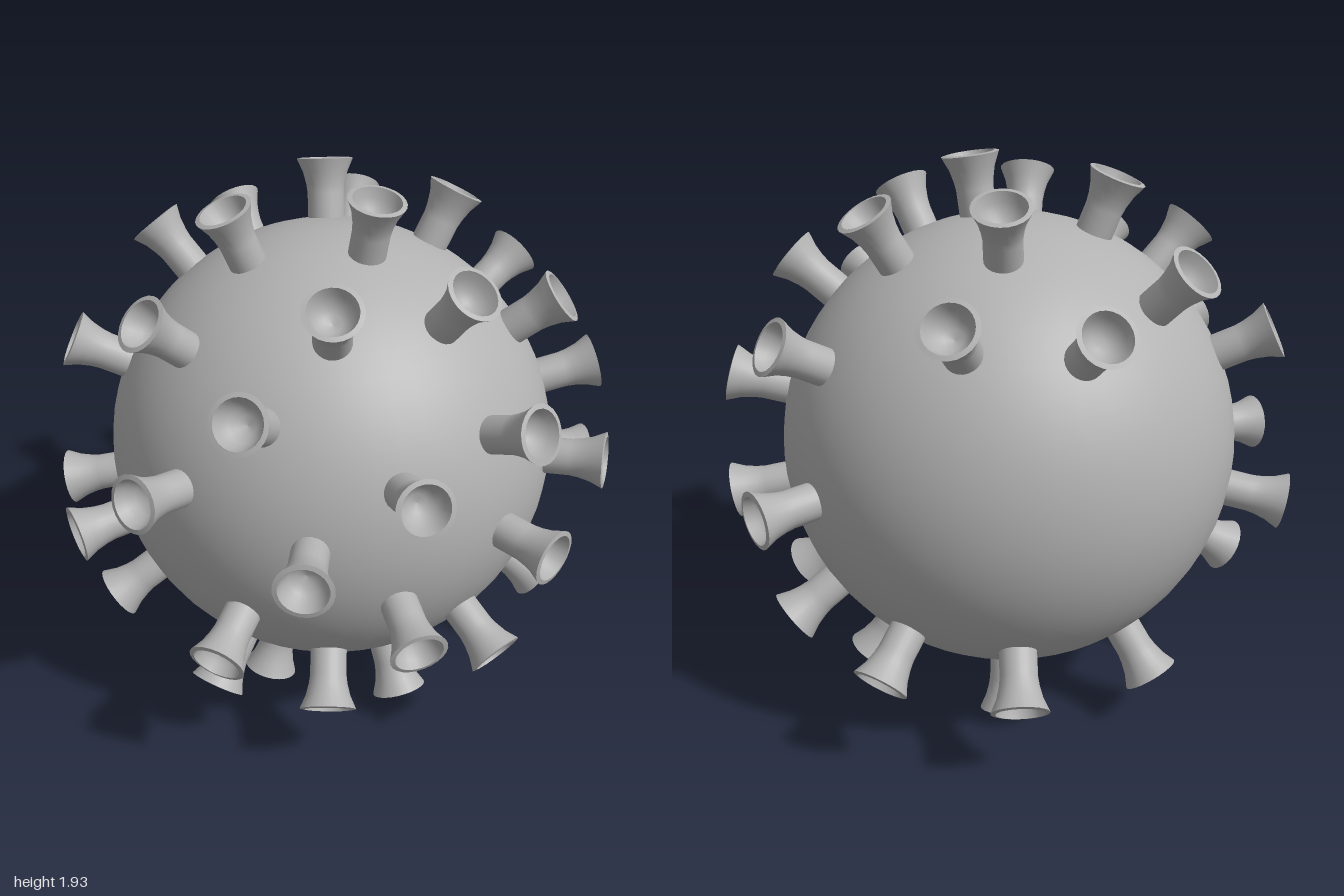
import * as THREE from 'three';
import { mergeGeometries } from 'three/addons/utils/BufferGeometryUtils.js';

const CENTRE = new THREE.Vector3(0, 0.98, -0.1);

// Where the mouth of each trumpet spike sits: x, y, z
const SPIKE_TIPS = [
  // top
  [0.1, 1.95, 0.07], [0.09, 1.9, -0.43], [-0.36, 1.9, -0.12], [0.48, 1.83, -0.18],
  [-0.18, 1.79, 0.45], [0.29, 1.76, 0.43],
  // upper ring
  [0.31, 1.65, -0.75], [-0.14, 1.62, -0.83], [-0.5, 1.7, -0.55], [-0.69, 1.65, 0.09],
  [0.71, 1.59, 0.23], [-0.51, 1.52, 0.55], [0.8, 1.47, -0.35], [0.42, 1.38, 0.7],
  [-0.87, 1.41, -0.35], [-0.02, 1.29, 0.84],
  // middle
  [-0.82, 1.2, 0.4], [0.95, 1.22, 0.09], [-0.39, 1.05, 0.79], [0.8, 1.06, 0.48],
  [0.47, 0.93, 0.76], [0.88, 0.95, -0.49], [-0.97, 0.87, 0.05], [-0.9, 0.79, -0.42],
  [0.96, 0.79, 0.03], [-0.03, 0.74, 0.85],
  // lower ring
  [-0.62, 0.64, 0.57], [0.32, 0.5, 0.67], [-0.82, 0.45, -0.12], [0.79, 0.43, -0.26],
  [0.55, 0.38, -0.67], [0.11, 0.34, -0.83], [-0.25, 0.34, 0.59], [0.72, 0.37, 0.19],
  // bottom
  [-0.57, 0.28, 0.3], [-0.42, 0.21, -0.55], [0.51, 0.13, -0.1], [0.1, 0.12, 0.38],
  [0.07, 0.06, -0.43], [-0.3, 0.04, 0.03],
];

// Turn a [radius, height] profile around the y axis
const lathe = (points) =>
  new THREE.LatheGeometry(points.map(([r, y]) => new THREE.Vector2(r, y)), 24);

// Stem with flared mouth, flat lip and a hollow bowl; separate pieces keep the lip sharp
function spikeGeometry() {
  const outside = lathe([[0.063, 0.7], [0.063, 0.86], [0.067, 0.89], [0.077, 0.93], [0.097, 0.975]]);
  const lip = lathe([[0.097, 0.975], [0.081, 0.978]]);
  const bowl = lathe([[0.081, 0.978], [0.072, 0.945], [0.055, 0.915], [0.03, 0.897], [0, 0.89]]);
  return mergeGeometries([outside, lip, bowl]);
}

export function createModel() {
  const model = new THREE.Group();
  const grey = new THREE.MeshStandardMaterial({ color: 0xb2b2b2 });
  grey.name = 'grey';

  // Round body
  const body = new THREE.Mesh(new THREE.SphereGeometry(0.778, 48, 32), grey);
  body.name = 'body';
  body.position.copy(CENTRE);
  model.add(body);

  // Spikes, each pointing straight out from the body's centre
  const spikes = new THREE.Group();
  spikes.name = 'spikes';
  spikes.position.copy(CENTRE);
  const geometry = spikeGeometry();
  const up = new THREE.Vector3(0, 1, 0);
  SPIKE_TIPS.forEach((tip, i) => {
    const direction = new THREE.Vector3(...tip).sub(CENTRE).normalize();
    const spike = new THREE.Mesh(geometry, grey);
    spike.name = `spike${i + 1}`;
    spike.quaternion.setFromUnitVectors(up, direction);
    spikes.add(spike);
  });
  model.add(spikes);

  return model;
}
